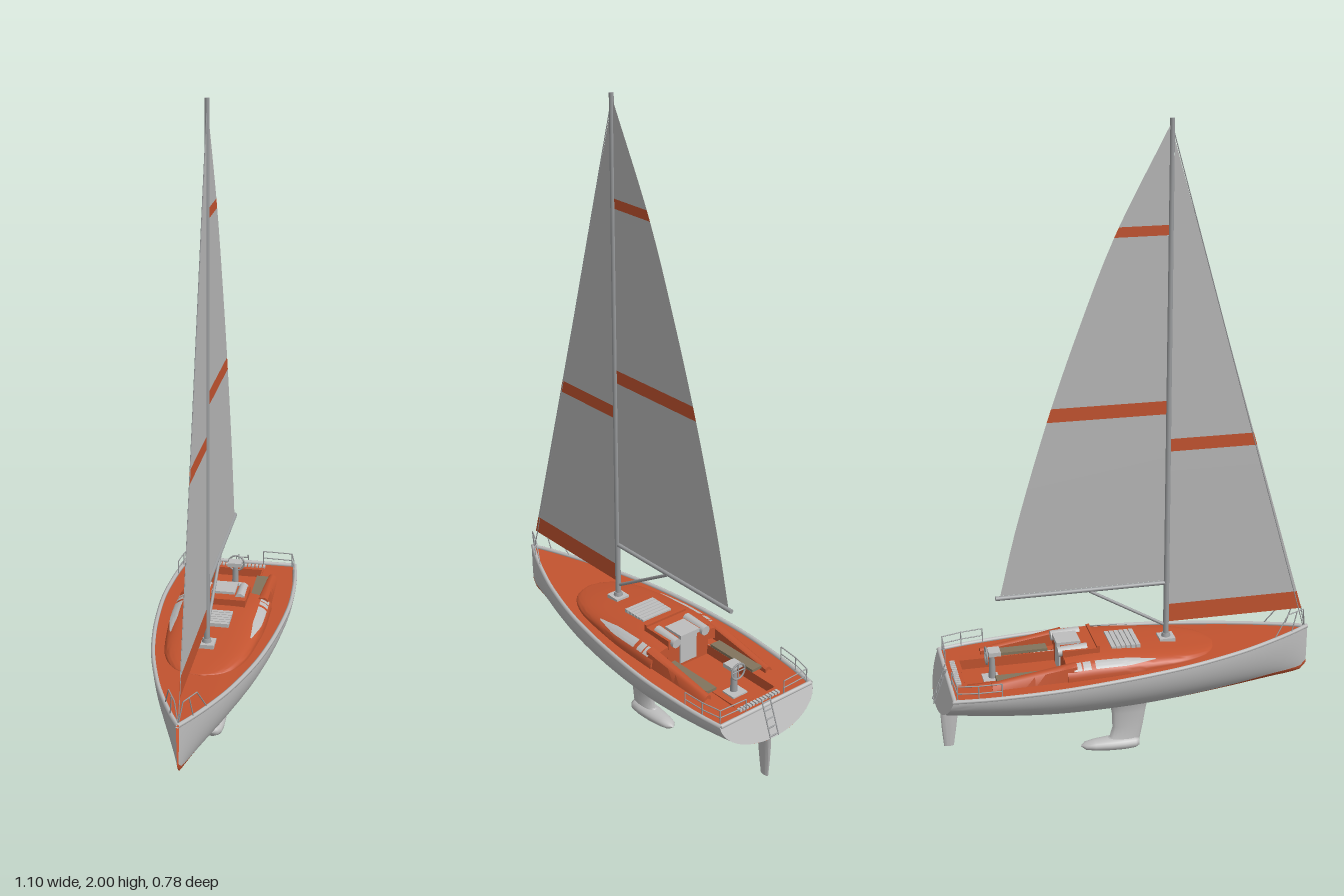
import * as THREE from 'three';
import { toCreasedNormals } from 'three/addons/utils/BufferGeometryUtils.js';

const mat = (name, color) => new THREE.MeshStandardMaterial({ name, color, side: THREE.DoubleSide });
const white = mat('hullGrey', 0xbdbdbd);
const orange = mat('deckOrange', 0xc2532f);
const cloth = mat('sailGrey', 0xb7b7b7);
const metal = mat('sparGrey', 0x9a9c9e);
const teak = mat('seatOlive', 0x82745d);

// smooth interpolation through [position, value] pairs
function curve(table) {
  const slope = (i) => {
    const a = table[Math.max(i - 1, 0)], b = table[Math.min(i + 1, table.length - 1)];
    return (b[1] - a[1]) / (b[0] - a[0]);
  };
  return (x) => {
    let i = 0;
    while (i < table.length - 2 && x > table[i + 1][0]) i++;
    const [x0, y0] = table[i], [x1, y1] = table[i + 1], d = x1 - x0;
    const t = Math.min(Math.max((x - x0) / d, 0), 1), t2 = t * t, t3 = t2 * t;
    return (2 * t3 - 3 * t2 + 1) * y0 + (t3 - 2 * t2 + t) * d * slope(i)
      + (3 * t2 - 2 * t3) * y1 + (t3 - t2) * d * slope(i + 1);
  };
}
const range = (a, b, n) => Array.from({ length: n + 1 }, (_, i) => a + (b - a) * i / n);

// skin over rows of points, with optional end caps
function loft(rows, caps = false, crease = 0.7) {
  const pos = [], idx = [], n = rows[0].length;
  rows.forEach((r) => r.forEach((p) => pos.push(...p)));
  for (let j = 0; j < rows.length - 1; j++) for (let i = 0; i < n - 1; i++) {
    const a = j * n + i, b = a + n;
    idx.push(a, b, a + 1, b, b + 1, a + 1);
  }
  if (caps) [0, rows.length - 1].forEach((j) => {
    const c = pos.length / 3;
    pos.push(...[0, 1, 2].map((k) => rows[j].reduce((s, p) => s + p[k], 0) / n));
    for (let i = 0; i < n - 1; i++) idx.push(...(j ? [c, j * n + i + 1, j * n + i] : [c, i, i + 1]));
  });
  const g = new THREE.BufferGeometry();
  g.setAttribute('position', new THREE.Float32BufferAttribute(pos, 3));
  g.setIndex(idx);
  return toCreasedNormals(g, crease);
}

// hull lines: x runs from bow to stern, z across
const beam = curve([[-0.664, 0.004], [-0.6, 0.037], [-0.5, 0.08], [-0.4, 0.116], [-0.24, 0.16], [-0.1, 0.185],
  [0.02, 0.199], [0.15, 0.208], [0.25, 0.208], [0.4, 0.199], [0.505, 0.184]]);
const sheer = curve([[-0.664, 0.366], [-0.4, 0.353], [0, 0.343], [0.505, 0.326]]);
const bottom = curve([[-0.664, 0.235], [-0.645, 0.214], [-0.55, 0.203], [-0.3, 0.188], [-0.05, 0.181],
  [0.2, 0.19], [0.4, 0.213], [0.505, 0.233]]);
const paintAngle = curve([[-0.664, 0.45], [-0.5, 0.58], [0, 0.58], [0.505, 0.52]]);
const houseWidth = curve([[-0.345, 0.008], [-0.338, 0.042], [-0.32, 0.072], [-0.29, 0.096], [-0.25, 0.115],
  [-0.2, 0.129], [-0.1, 0.142], [0, 0.15], [0.15, 0.15]]);
const houseTop = curve([[-0.345, 0.352], [-0.25, 0.368], [-0.1, 0.383], [0.05, 0.392], [0.15, 0.387]]);

export function createModel() {
  const root = new THREE.Group();
  const boat = new THREE.Group();
  boat.name = 'sailboat';
  boat.rotation.y = 0.557;
  boat.position.set(0.02, 0, 0.032);
  root.add(boat);

  const add = (name, geo, m) => {
    const o = new THREE.Mesh(geo, m);
    o.name = name;
    boat.add(o);
    return o;
  };
  const box = (name, m, x0, x1, y0, y1, z0, z1) =>
    add(name, new THREE.BoxGeometry(x1 - x0, y1 - y0, z1 - z0), m)
      .position.set((x0 + x1) / 2, (y0 + y1) / 2, (z0 + z1) / 2);
  const rod = (name, m, a, b, r, r2 = r) => {
    const A = new THREE.Vector3(...a), d = new THREE.Vector3(...b).sub(A);
    const o = add(name, new THREE.CylinderGeometry(r2, r, d.length(), 10), m);
    o.position.copy(A).addScaledVector(d, 0.5);
    o.quaternion.setFromUnitVectors(new THREE.Vector3(0, 1, 0), d.normalize());
  };
  const rods = (name, m, pts, r) => pts.slice(1).forEach((p, i) => rod(name, m, pts[i], p, r));

  // hull: painted band along the bottom, grey topsides, raked transom
  const stations = [-0.664, -0.658, -0.645, ...range(-0.625, 0.505, 34)];
  const hullPoint = (x, a) => {
    const ys = sheer(x), yb = bottom(x), c = Math.cos(a);
    const rake = 0.036 * THREE.MathUtils.smoothstep(x, 0.4, 0.505);
    return [x + rake * c, ys - (ys - yb) * c, beam(x) * Math.sin(a)];
  };
  add('hullBottom', loft(stations.map((x) =>
    range(-paintAngle(x), paintAngle(x), 12).map((a) => hullPoint(x, a)))), orange);
  for (const s of [-1, 1]) add('topside', loft(stations.map((x) =>
    range(paintAngle(x), Math.PI / 2, 12).map((a) => hullPoint(x, s * a)))), white);
  const rim = range(-Math.PI / 2, Math.PI / 2, 24).map((a) => hullPoint(0.505, a));
  add('transom', loft([rim, rim.map((p) => [0.505, sheer(0.505), p[2]])]), white);

  // deck with a cockpit opening
  const edge = stations.map((x) => new THREE.Vector2(x, beam(x) - 0.002));
  const deckShape = new THREE.Shape([...edge, ...edge.map((p) => new THREE.Vector2(p.x, -p.y)).reverse()]);
  deckShape.holes.push(new THREE.Path([[0.15, -0.078], [0.45, -0.078], [0.45, 0.078], [0.15, 0.078]]
    .map((p) => new THREE.Vector2(...p))));
  const deck = new THREE.ShapeGeometry(deckShape);
  const dp = deck.attributes.position;
  for (let i = 0; i < dp.count; i++) {
    const x = dp.getX(i), z = dp.getY(i);
    dp.setXYZ(i, x, sheer(x) - 0.003, -z);
  }
  deck.computeVertexNormals();
  add('deck', deck, orange);
  box('cockpitFloor', orange, 0.15, 0.45, 0.293, 0.298, -0.08, 0.08);
  for (const s of [-1, 1]) box('cockpitSide', orange, 0.15, 0.45, 0.295, 0.33, s * 0.08 - 0.002, s * 0.08 + 0.002);
  box('cockpitEnd', orange, 0.45, 0.454, 0.295, 0.325, -0.08, 0.08);
  box('cockpitFront', orange, 0.146, 0.15, 0.295, 0.38, -0.08, 0.08);

  // gunwale
  for (const s of [-1, 1]) add('gunwale', new THREE.TubeGeometry(new THREE.CatmullRomCurve3(
    stations.map((x) => new THREE.Vector3(x, sheer(x), s * (beam(x) - 0.005)))), 60, 0.007, 6), white);
  rod('sternGunwale', white, [0.502, 0.326, -0.18], [0.502, 0.326, 0.18], 0.007);
  for (const z of range(-0.07, 0.08, 12)) box('sternGrating', white, 0.466, 0.482, 0.324, 0.33, z - 0.004, z + 0.004);

  // cabin house with side windows
  const housePoint = (x, a, off = 0) => {
    const y0 = sheer(x) - 0.006, c = Math.cos(a), s = Math.max(Math.sin(a), 0);
    return [x, y0 + (houseTop(x) - y0) * s ** 0.7 + off, Math.sign(c) * (houseWidth(x) * Math.abs(c) ** 0.6 + off)];
  };
  const houseX = [-0.345, -0.342, -0.337, -0.329, -0.317, ...range(-0.3, 0.15, 20)];
  add('cabinHouse', loft(houseX.map((x) => range(0, Math.PI, 24).map((a) => housePoint(x, a))), true), orange);
  for (const s of [0, 1]) for (const [x0, x1] of [[-0.13, 0.062], [0.076, 0.1], [0.105, 0.13]])
    add('cabinWindow', loft(range(x0, x1, 10).map((x) => {
      const taper = x0 < 0 ? Math.min(1, 0.15 + (x - x0) / 0.1) : 1;
      return range(0.66 - 0.24 * taper, 0.66 + 0.2 * taper, 5)
        .map((a) => housePoint(x, s ? Math.PI - a : a, 0.003));
    })), white);

  // foredeck hatch, companionway hatch and pads
  for (const x of range(-0.09, -0.012, 5)) box('hatchSlat', white, x - 0.0065, x + 0.0065, 0.382, 0.395, -0.062, 0.05);
  box('companionwayHatch', orange, 0.038, 0.152, 0.375, 0.405, -0.08, 0.08);
  box('hatchLip', orange, 0.036, 0.046, 0.38, 0.412, -0.08, 0.08);
  box('slidingHatch', white, 0.088, 0.163, 0.4, 0.413, -0.034, 0.04);
  box('washboard', white, 0.15, 0.155, 0.31, 0.4, -0.03, 0.035);
  for (const s of [-1, 1]) rod('rolledBag', white, [0.073, 0.4, s * 0.058], [0.165, 0.395, s * 0.058], 0.016);

  // coamings and seats
  for (const s of [-1, 1]) {
    add('coaming', loft(range(0.12, 0.38, 8).map((x) => {
      const t = (x - 0.12) / 0.29, y = 0.385 - 0.045 * t, o = 0.148 - 0.01 * t;
      return [[o, 0.325], [o - 0.008, y - 0.006], [o - 0.016, y], [0.115, y], [0.109, y - 0.005], [0.109, 0.325]]
        .map(([z, yy]) => [x, yy, s * z]);
    }), true), orange);
    box('seat', teak, 0.172, 0.362, 0.336, 0.345, s * 0.091 - 0.019, s * 0.091 + 0.019);
  }

  // steering pedestal and wheel
  rod('pedestal', metal, [0.36, 0.296, 0], [0.36, 0.385, 0], 0.012, 0.008);
  box('pedestalFoot', white, 0.34, 0.39, 0.297, 0.303, -0.028, 0.028);
  box('instrumentBox', white, 0.335, 0.372, 0.382, 0.395, -0.022, 0.022);
  const wheel = add('wheel', new THREE.TorusGeometry(0.026, 0.003, 6, 24), metal);
  wheel.position.set(0.378, 0.378, 0);
  wheel.rotation.y = Math.PI / 2;
  rod('wheelSpoke', metal, [0.378, 0.378, -0.026], [0.378, 0.378, 0.026], 0.002);
  rod('wheelSpoke', metal, [0.378, 0.352, 0], [0.378, 0.404, 0], 0.002);

  // bow and stern rails, boarding ladder
  for (const s of [-1, 1]) {
    rods('bowRail', metal, [[-0.655, 0.365, 0], [-0.645, 0.432, s * 0.012], [-0.585, 0.432, s * 0.04], [-0.535, 0.36, s * 0.06]], 0.0018);
    rods('bowRail', metal, [[-0.6, 0.362, s * 0.033], [-0.62, 0.432, s * 0.025]], 0.0018);
    const corner = [[0.36, 0.192], [0.43, 0.186], [0.492, 0.172], [0.496, 0.075]];
    for (const h of [0.022, 0.046]) rods('sternRail', metal, corner.map(([x, z]) => [x, sheer(x) + h, s * z]), 0.0018);
    for (const [x, z] of corner) rod('sternPost', metal, [x, sheer(x), s * z], [x, sheer(x) + 0.046, s * z], 0.0018);
    rod('ladderRail', metal, [0.503, 0.352, s * 0.016 + 0.005], [0.546, 0.238, s * 0.016 + 0.005], 0.002);
  }
  for (const t of range(0.1, 0.95, 4)) rod('ladderRung', metal,
    [0.503 + 0.043 * t, 0.352 - 0.114 * t, -0.011], [0.503 + 0.043 * t, 0.352 - 0.114 * t, 0.021], 0.002);

  // keel, bulb and rudder from elliptical sections [y, leading x, trailing x, half thickness]
  const fin = (name, table) => add(name, loft(table.map(([y, a, b, w]) => range(0, Math.PI * 2, 20)
    .map((t) => [(a + b) / 2 + (b - a) / 2 * Math.cos(t), y, w * Math.sin(t)])), true), white);
  fin('keel', [[0.195, -0.185, 0.03, 0.04], [0.183, -0.155, 0.005, 0.025], [0.165, -0.137, -0.014, 0.017],
    [0.13, -0.13, -0.02, 0.014], [0.08, -0.122, -0.022, 0.014], [0.045, -0.115, -0.012, 0.018], [0.02, -0.11, 0.03, 0.024]]);
  const bulb = add('keelBulb', new THREE.LatheGeometry([[0, -0.108], [0.014, -0.103], [0.02, -0.09], [0.022, -0.055],
    [0.021, -0.01], [0.017, 0.04], [0.012, 0.07], [0, 0.086]].map((p) => new THREE.Vector2(...p)), 20), white);
  bulb.rotation.z = -Math.PI / 2;
  bulb.scale.z = 1.5;
  bulb.position.set(-0.004, 0.022, 0);
  fin('rudder', [[0.24, 0.468, 0.525, 0.008], [0.2, 0.47, 0.526, 0.008], [0.14, 0.478, 0.523, 0.007], [0.08, 0.487, 0.518, 0.005]]);

  // mast, boom, vang and forestay
  box('mastStep', white, -0.22, -0.17, 0.368, 0.384, -0.025, 0.025);
  rod('mastCollar', metal, [-0.1945, 0.38, 0], [-0.1945, 0.395, 0], 0.016, 0.012);
  rod('mast', metal, [-0.1945, 0.37, 0], [-0.1945, 2, 0], 0.009, 0.007);
  rod('boom', metal, [-0.19, 0.567, 0], [0.344, 0.567, 0], 0.007);
  rod('vang', metal, [-0.185, 0.425, 0], [0.05, 0.562, 0], 0.005);
  rod('forestay', metal, [-0.65, 0.37, 0], [-0.2, 1.96, 0], 0.0015);

  // sails, cut into horizontal panels
  const panels = (name, cuts, lead, trail) => cuts.slice(1).forEach(([y1, m], i) =>
    add(name, loft(range(cuts[i][0], y1, 8).map((y) => [[lead(y), y, 0], [trail(y), y, 0]])), m));
  const leech = curve([[0.575, 0.329], [0.8, 0.274], [1.13, 0.175], [1.4, 0.08], [1.67, -0.028], [1.98, -0.188]]);
  panels('mainsail', [[0.575], [1.12, cloth], [1.162, orange], [1.665, cloth], [1.695, orange], [1.98, cloth]],
    () => -0.19, leech);
  panels('jib', [[0.432], [0.492, orange], [1.0, cloth], [1.04, orange], [1.94, cloth]],
    (y) => -0.642 + 0.44 * (y - 0.432) / 1.508, () => -0.202);
  return root;
}
